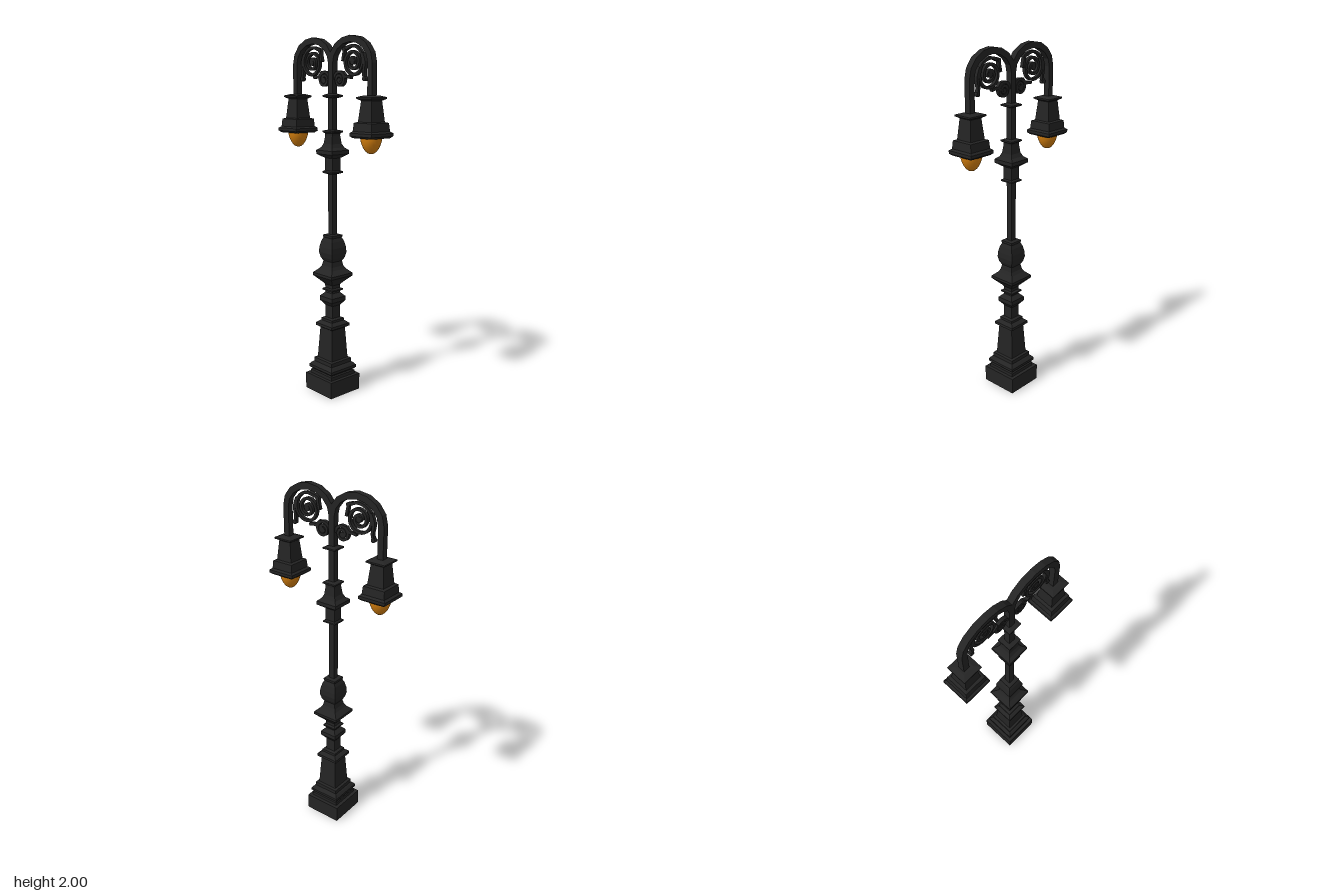
import * as THREE from 'three';

const iron = new THREE.MeshStandardMaterial({ color: 0x242424 });
iron.name = 'blackIron';
const amber = new THREE.MeshStandardMaterial({ color: 0xd9820f });
amber.name = 'amberGlass';

function mesh(name, geometry, material = iron) {
  const m = new THREE.Mesh(geometry, material);
  m.name = name;
  return m;
}

function flat(geometry) {
  const g = geometry.index ? geometry.toNonIndexed() : geometry;
  g.computeVertexNormals();
  return g;
}

// Square turned profile: pairs of [half width, height], bottom to top
function squareTurned(profile) {
  const pts = profile.map(([w, y]) => new THREE.Vector2(w * Math.SQRT2, y));
  pts.unshift(new THREE.Vector2(0, profile[0][1]));
  pts.push(new THREE.Vector2(0, profile[profile.length - 1][1]));
  return flat(new THREE.LatheGeometry(pts, 4, Math.PI / 4));
}

// Flat bar of the given width that follows a line of 2D points, centred on z = 0
function ribbon(points, width, depth) {
  const n = points.length;
  const left = [], right = [];
  points.forEach((p, i) => {
    const a = points[Math.max(i - 1, 0)], b = points[Math.min(i + 1, n - 1)];
    const t = b.clone().sub(a).normalize().multiplyScalar(width / 2);
    left.push(new THREE.Vector2(p.x - t.y, p.y + t.x));
    right.unshift(new THREE.Vector2(p.x + t.y, p.y - t.x));
  });
  const g = new THREE.ExtrudeGeometry(new THREE.Shape([...left, ...right]), { depth, bevelEnabled: false });
  return g.translate(0, 0, -depth / 2);
}

function spiral(cx, cy, r0, r1, startAngle, turns, steps) {
  return Array.from({ length: steps + 1 }, (_, i) => {
    const t = i / steps, r = r0 + (r1 - r0) * t, a = startAngle + turns * Math.PI * 2 * t;
    return new THREE.Vector2(cx + r * Math.cos(a), cy + r * Math.sin(a));
  });
}

function curl(...xy) {
  return new THREE.SplineCurve(xy.map(([x, y]) => new THREE.Vector2(x, y))).getPoints(10);
}

// Small round end of a scroll
function knob(x, y, r) {
  return new THREE.CylinderGeometry(r, r, 0.022, 12).rotateX(Math.PI / 2).translate(x, y, 0);
}

// One curved arm with its scrollwork and lamp; side is +1 or -1
function buildArm(side) {
  const arm = new THREE.Group();
  arm.name = side > 0 ? 'leftArm' : 'rightArm';
  const place = (x) => side * x;
  const flip = (pts) => pts.map((p) => new THREE.Vector2(place(p.x), p.y));

  // Faceted hook from the post top, over and down to the lamp
  const hook = [new THREE.Vector2(0, 1.8)];
  for (let i = 0; i <= 8; i++) {
    const a = Math.PI * (1 - i / 8);
    hook.push(new THREE.Vector2(0.15 + 0.15 * Math.cos(a), 1.857 + 0.127 * Math.sin(a)));
  }
  hook.push(new THREE.Vector2(0.3, 1.67));
  arm.add(mesh('hook', ribbon(flip(hook), 0.034, 0.035)));

  // Scrollwork below the hook
  const scroll = new THREE.Group();
  scroll.name = 'scrollwork';
  const strips = [
    ['largeScroll', spiral(0.163, 1.866, 0.012, 0.084, 0, 2.35, 60)],
    ['smallScroll', spiral(0.062, 1.775, 0.008, 0.044, Math.PI, 2, 40)],
    ['outerTail', curl([0.232, 1.91], [0.25, 1.86], [0.243, 1.81], [0.25, 1.78])],
    ['innerTail', curl([0.12, 1.94], [0.098, 1.932], [0.094, 1.91], [0.085, 1.87])],
    ['link', curl([0.15, 1.785], [0.125, 1.79], [0.105, 1.79], [0.08, 1.815])],
  ];
  for (const [name, pts] of strips) scroll.add(mesh(name, ribbon(flip(pts), 0.015, 0.02)));
  const knobs = [[0.163, 1.866, 0.016], [0.062, 1.775, 0.011], [0.25, 1.778, 0.012], [0.097, 1.93, 0.011]];
  for (const [x, y, r] of knobs) scroll.add(mesh('scrollKnob', knob(place(x), y, r)));
  arm.add(scroll);

  // Square lamp housing
  const lamp = new THREE.Group();
  lamp.name = 'lamp';
  lamp.position.x = place(0.298);
  lamp.add(mesh('housing', squareTurned([
    [0.068, 1.477], [0.08, 1.487], [0.08, 1.503], [0.068, 1.512], [0.064, 1.555], [0.049, 1.56],
    [0.038, 1.668], [0.056, 1.678], [0.056, 1.686], [0.03, 1.694],
  ])));

  // Rounded glass bulb
  const glass = [[0, 1.394], [0.016, 1.398], [0.029, 1.408], [0.041, 1.425], [0.05, 1.445], [0.056, 1.465], [0.057, 1.482]];
  lamp.add(mesh('bulb', new THREE.LatheGeometry(glass.map(([r, y]) => new THREE.Vector2(r, y)), 24), amber));
  arm.add(lamp);
  return arm;
}

export function createModel() {
  const model = new THREE.Group();
  model.name = 'streetLamp';

  // Plinth and tapered pedestal
  model.add(mesh('plinth', squareTurned([[0.11, 0], [0.11, 0.095]])));
  model.add(mesh('pedestal', squareTurned([
    [0.09, 0.095], [0.09, 0.115], [0.082, 0.12], [0.096, 0.133], [0.096, 0.148], [0.084, 0.162],
    [0.076, 0.168], [0.076, 0.19], [0.061, 0.194], [0.05, 0.375], [0.068, 0.386], [0.068, 0.402],
    [0.052, 0.415], [0.046, 0.418], [0.046, 0.432], [0.03, 0.438],
  ])));

  // Stacked mouldings and vase above the pedestal
  model.add(mesh('lowerMouldings', squareTurned([
    [0.03, 0.43], [0.03, 0.51], [0.052, 0.538], [0.052, 0.562], [0.03, 0.585], [0.03, 0.594],
    [0.042, 0.599], [0.042, 0.607], [0.03, 0.613], [0.03, 0.632], [0.038, 0.642], [0.08, 0.685],
    [0.08, 0.7], [0.053, 0.725], [0.043, 0.742], [0.037, 0.77], [0.048, 0.79], [0.055, 0.82],
    [0.053, 0.85], [0.045, 0.885], [0.036, 0.905], [0.039, 0.912], [0.039, 0.92], [0.018, 0.924],
  ])));

  // Plain post
  model.add(mesh('post', new THREE.BoxGeometry(0.035, 0.96, 0.035).translate(0, 1.38, 0)));

  // Mouldings on the upper post
  model.add(mesh('upperMouldings', squareTurned([
    [0.02, 1.262], [0.04, 1.27], [0.04, 1.278], [0.03, 1.284], [0.03, 1.352], [0.064, 1.375],
    [0.064, 1.395], [0.045, 1.41], [0.035, 1.43], [0.029, 1.475], [0.03, 1.487], [0.04, 1.493],
    [0.04, 1.501], [0.018, 1.506],
  ])));
  model.add(mesh('collar', squareTurned([[0.02, 1.676], [0.039, 1.684], [0.039, 1.692], [0.018, 1.7]])));

  for (const side of [1, -1]) model.add(buildArm(side));
  return model;
}
